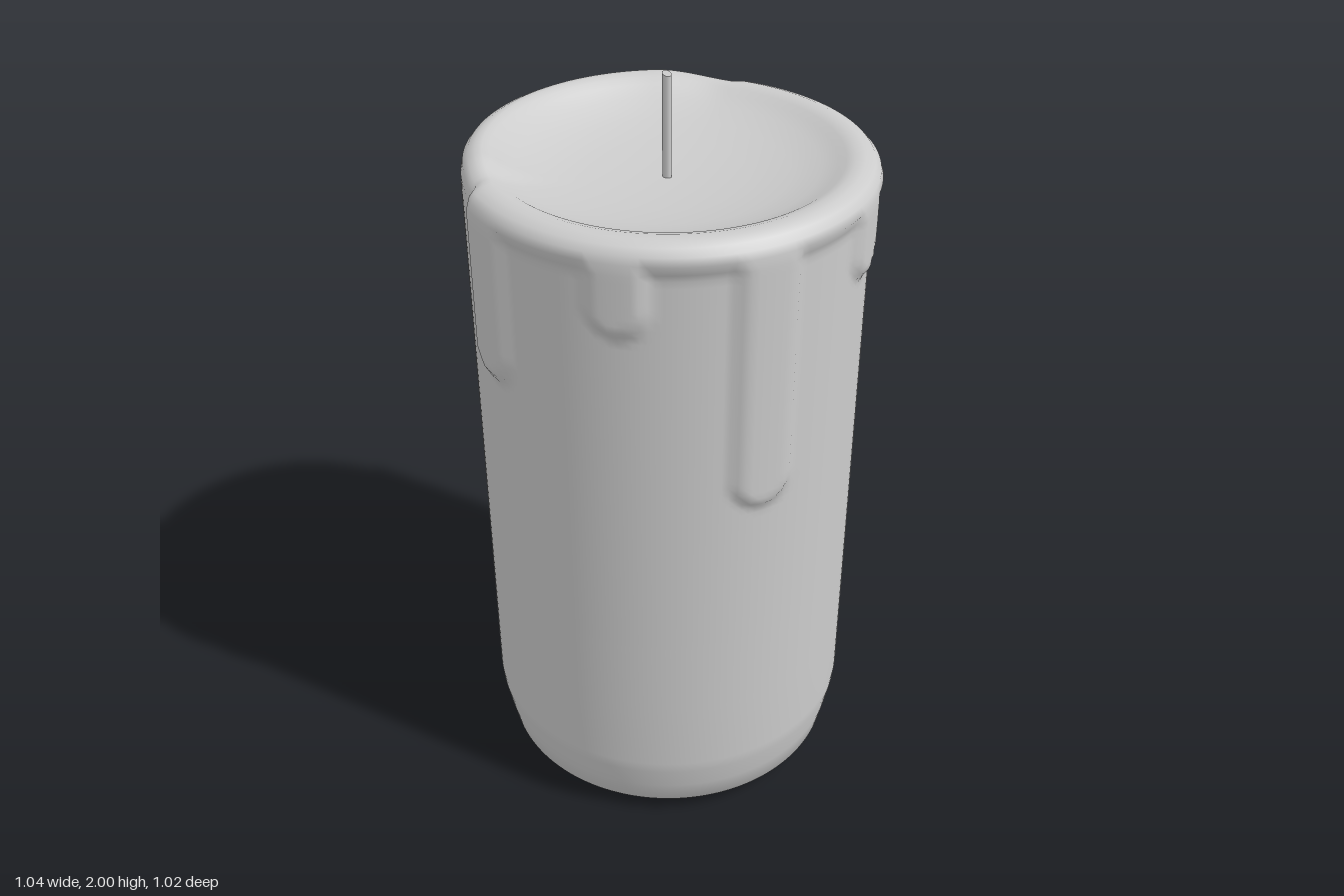
import * as THREE from 'three';
import { mergeVertices } from 'three/addons/utils/BufferGeometryUtils.js';

const SEGMENTS = 180;
const LIP_START = -1.65, LIP_END = 2.3; // angular span of the melted lip, 0 = front, + = left

// Wax drips: angle round the candle, half width, height of the lower tip
const drips = [
  { angle: 0, half: 0.085, tip: 1.07 },
  { angle: 0.7, half: 0.075, tip: 1.57 },
  { angle: 1.41, half: 0.095, tip: 0.7 },
  { angle: 2.13, half: 0.08, tip: 1.07 },
  { angle: -0.7, half: 0.075, tip: 1.57 },
  { angle: -1.46, half: 0.085, tip: 1.33 },
];

const smooth = THREE.MathUtils.smoothstep;

// How much melted wax (0..1) lies on the wall at an angle and height
function waxAmount(angle, y) {
  const inLip = smooth(angle, LIP_START, LIP_START + 0.08) * (1 - smooth(angle, LIP_END - 0.08, LIP_END));
  let amount = inLip * smooth(y, 1.725, 1.765);
  for (const { angle: centre, half, tip } of drips) {
    const across = (angle - centre) * 0.5;
    const below = Math.min(0, y - (tip + half));
    const d = Math.hypot(across, below);
    amount = Math.max(amount, 1 - smooth(d, half * 0.65, half * 1.1));
  }
  return amount;
}

// The unmelted back of the rim stands a little higher
function backRise(angle) {
  const a = angle < 0 ? angle + Math.PI * 2 : angle;
  return smooth(a, LIP_END, 2.75) * (1 - smooth(a, 4.42, LIP_START + Math.PI * 2));
}

function waxGeometry() {
  const profile = [[0.38, 0], [0.43, 0.025], [0.47, 0.05], [0.485, 0.12], [0.497, 0.185], [0.5, 0.22], [0.5, 0.42]];
  for (let y = 0.64; y < 1.755; y += 0.018) profile.push([0.5, y]);
  // Rounded rim and shallow melted bowl
  profile.push([0.499, 1.765], [0.493, 1.785], [0.48, 1.801], [0.462, 1.81], [0.445, 1.811], [0.428, 1.804],
    [0.41, 1.793], [0.37, 1.777], [0.3, 1.758], [0.2, 1.744], [0.1, 1.737], [0, 1.735]);

  const geometry = new THREE.LatheGeometry(profile.map(([r, y]) => new THREE.Vector2(r, y)), SEGMENTS);
  const p = geometry.attributes.position;
  for (let i = 0; i < p.count; i++) {
    const x = p.getX(i), y = p.getY(i), z = p.getZ(i);
    const r = Math.hypot(x, z);
    if (r < 0.01) continue;
    const angle = Math.atan2(x, z);
    const grow = 1 + (0.02 * waxAmount(angle, y) * smooth(r, 0.42, 0.495)) / r;
    const rise = y > 1.7 ? 0.02 * backRise(angle) * smooth(r, 0.3, 0.43) * smooth(y, 1.73, 1.785) : 0;
    p.setXYZ(i, x * grow, y + rise, z * grow);
  }
  // Weld the seam so the normals run smoothly all round
  geometry.deleteAttribute('uv');
  geometry.deleteAttribute('normal');
  const welded = mergeVertices(geometry, 1e-5);
  welded.computeVertexNormals();
  return welded;
}

export function createModel() {
  const material = new THREE.MeshStandardMaterial({ color: 0xcccccc });
  const candle = new THREE.Group();
  candle.name = 'candle';

  const add = (name, geometry) => {
    const mesh = new THREE.Mesh(geometry, material);
    mesh.name = name;
    candle.add(mesh);
    return mesh;
  };

  add('waxBody', waxGeometry()).position.z = -0.004;

  const base = add('base', new THREE.CircleGeometry(0.38, SEGMENTS));
  base.rotation.x = Math.PI / 2;
  base.position.z = -0.004;

  // Thin oval wick with a slightly slanted tip
  const wickGeometry = new THREE.CylinderGeometry(0.011, 0.011, 0.29, 10);
  const w = wickGeometry.attributes.position;
  for (let i = 0; i < w.count; i++) {
    if (w.getY(i) > 0) w.setY(i, w.getY(i) - (w.getZ(i) + 0.011) * 0.3 + 0.0);
  }
  wickGeometry.scale(1, 1, 1.25);
  add('wick', wickGeometry).position.set(0, 1.855, -0.01);

  return candle;
}
